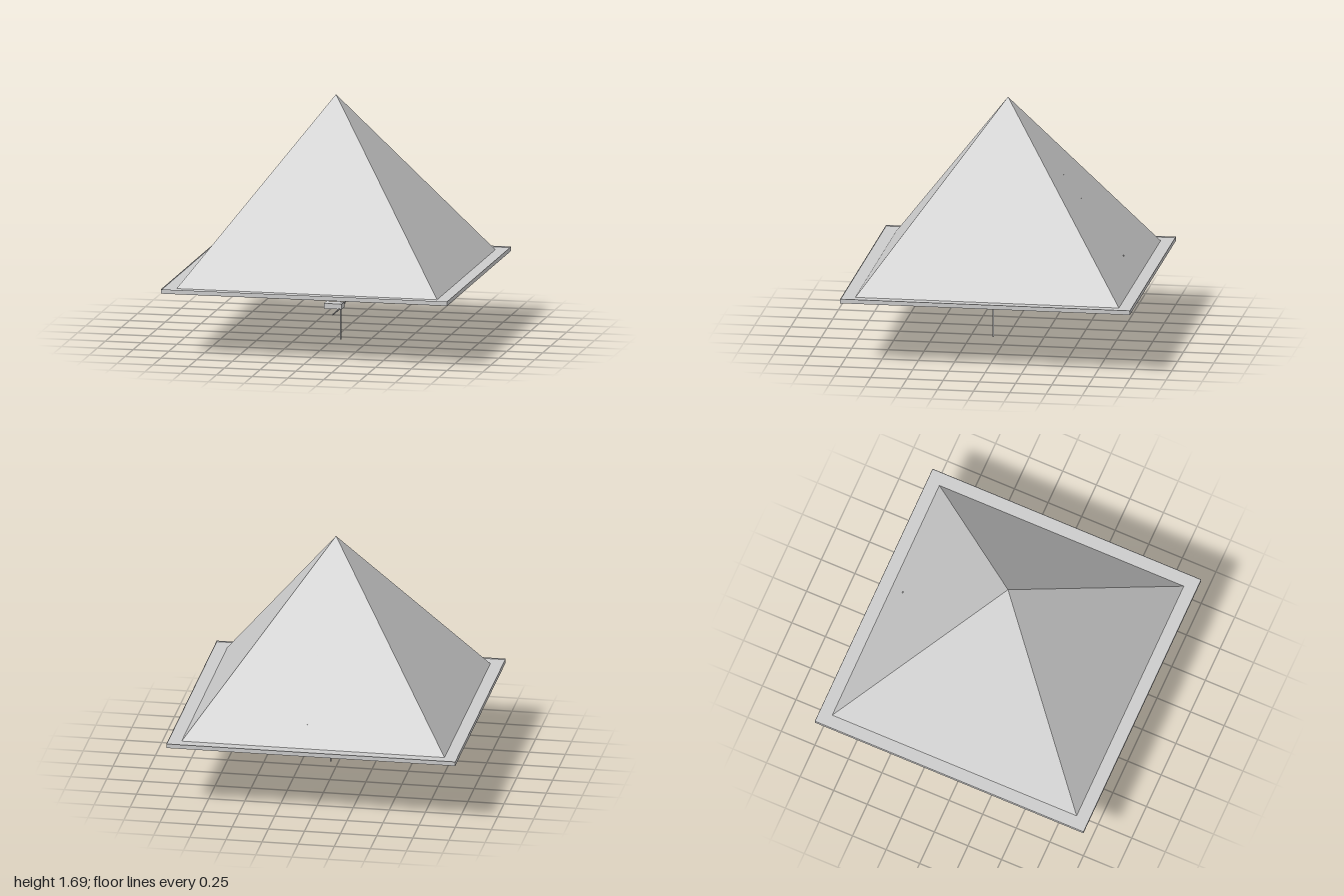
import * as THREE from 'three';

const stone = new THREE.MeshStandardMaterial({ color: 0xcccccc, flatShading: true, side: THREE.DoubleSide });
stone.name = 'stone';

const BASE = 0.47, APEX = 1.685, HALF = 0.91;
const X = 0.053; // plane shared by all passages

export function createModel() {
  const model = new THREE.Group();
  model.name = 'pyramid';

  const add = (name, geometry, x = 0, y = 0, z = 0) => {
    const mesh = new THREE.Mesh(geometry, stone);
    mesh.name = name;
    mesh.position.set(x, y, z);
    model.add(mesh);
    return mesh;
  };

  // Box given by its extents
  const room = (name, x0, x1, y0, y1, z0, z1) =>
    add(name, new THREE.BoxGeometry(x1 - x0, y1 - y0, z1 - z0), (x0 + x1) / 2, (y0 + y1) / 2, (z0 + z1) / 2);

  // Square passage following [z, y] points at a fixed x
  const passage = (name, size, points, x = X) => {
    for (let i = 0; i < points.length - 1; i++) {
      const a = new THREE.Vector3(x, points[i][1], points[i][0]);
      const b = new THREE.Vector3(x, points[i + 1][1], points[i + 1][0]);
      const mesh = add(name, new THREE.BoxGeometry(size, size, a.distanceTo(b)));
      mesh.position.copy(a).lerp(b, 0.5);
      mesh.lookAt(b);
    }
  };

  // [z, y] outline extruded across x, centred on x
  const slab = (name, outline, width, x) => {
    const shape = new THREE.Shape(outline.map(([z, y]) => new THREE.Vector2(z, y)));
    const geometry = new THREE.ExtrudeGeometry(shape, { depth: width, bevelEnabled: false });
    geometry.translate(0, 0, -width / 2).rotateY(-Math.PI / 2);
    add(name, geometry, x);
  };

  // Open shell with four sloping faces
  const shell = new THREE.ConeGeometry(HALF * Math.SQRT2, APEX - BASE, 4, 1, true);
  shell.rotateY(Math.PI / 4);
  add('pyramidShell', shell, 0, (APEX + BASE) / 2, 0);

  // Ground ring around the foot, with a thin upright rim
  const ring = new THREE.Shape([[-1, -1], [1, -1], [1, 1], [-1, 1]].map(p => new THREE.Vector2(...p)));
  ring.holes.push(new THREE.Path([[-1, -1], [-1, 1], [1, 1], [1, -1]].map(p => new THREE.Vector2(p[0] * HALF, p[1] * HALF))));
  add('groundRing', new THREE.ShapeGeometry(ring).rotateX(-Math.PI / 2), 0, BASE, 0);
  const rim = new THREE.CylinderGeometry(Math.SQRT2, Math.SQRT2, 0.03, 4, 1, true);
  rim.rotateY(Math.PI / 4);
  add('groundRim', rim, 0, 0.463, 0);

  // Lower chamber with its pit and dead-end passage
  room('lowerChamber', -0.055, 0.07, 0.218, 0.255, 0.053, 0.134);
  passage('pit', 0.009, [[0.093, 0], [0.093, 0.22]]);
  passage('deadEndPassage', 0.007, [[0.13, 0.22], [0.34, 0.22]]);

  // Sloping passages
  passage('descendingPassage', 0.009, [[0.06, 0.232], [-0.03, 0.232], [-0.81, 0.613]]);
  passage('ascendingPassage', 0.009, [[-0.59, 0.506], [-0.3, 0.665]]);
  passage('wellShaft', 0.006, [[-0.3, 0.66], [-0.285, 0.53], [-0.235, 0.45], [-0.135, 0.345], [-0.1, 0.265]]);

  // Gallery, narrowing upward in steps
  for (let i = 0; i < 4; i++) {
    const y = 0.66 + i * 0.017;
    slab('gallery', [[-0.3, y], [0, y + 0.155], [0, y + 0.172], [-0.3, y + 0.017]], 0.018 - i * 0.003, X);
  }

  // Middle chamber with a gabled roof
  passage('middlePassage', 0.009, [[-0.3, 0.664], [-0.01, 0.664]]);
  slab('middleChamber', [[-0.02, 0.66], [0.02, 0.66], [0.02, 0.695], [0, 0.708], [-0.02, 0.695]], 0.045, 0.034);

  // Upper chamber with stacked spaces above
  passage('upperPassage', 0.009, [[-0.01, 0.818], [0.075, 0.818]]);
  room('antechamber', 0.046, 0.06, 0.814, 0.842, 0.025, 0.048);
  room('upperChamber', -0.027, 0.056, 0.813, 0.859, 0.07, 0.111);
  for (let i = 0; i < 4; i++) {
    const y = 0.872 + i * 0.02;
    room('reliefSpace', -0.02, 0.056, y, y + 0.009, 0.07, 0.111);
  }
  slab('reliefGable', [[0.07, 0.952], [0.111, 0.952], [0.111, 0.96], [0.09, 0.978], [0.07, 0.96]], 0.076, 0.018);

  // Narrow air shafts to both faces
  passage('upperShaft', 0.003, [[0.07, 0.822], [0.05, 0.822], [-0.392, 1.164]], 0.042);
  passage('upperShaft', 0.003, [[0.111, 0.822], [0.12, 0.822], [0.4, 1.11]], 0.042);
  passage('middleShaft', 0.003, [[-0.02, 0.673], [-0.035, 0.673], [-0.512, 1.003]], 0.042);
  passage('middleShaft', 0.003, [[0.02, 0.673], [0.035, 0.673], [0.485, 1.0]], 0.042);

  return model;
}
